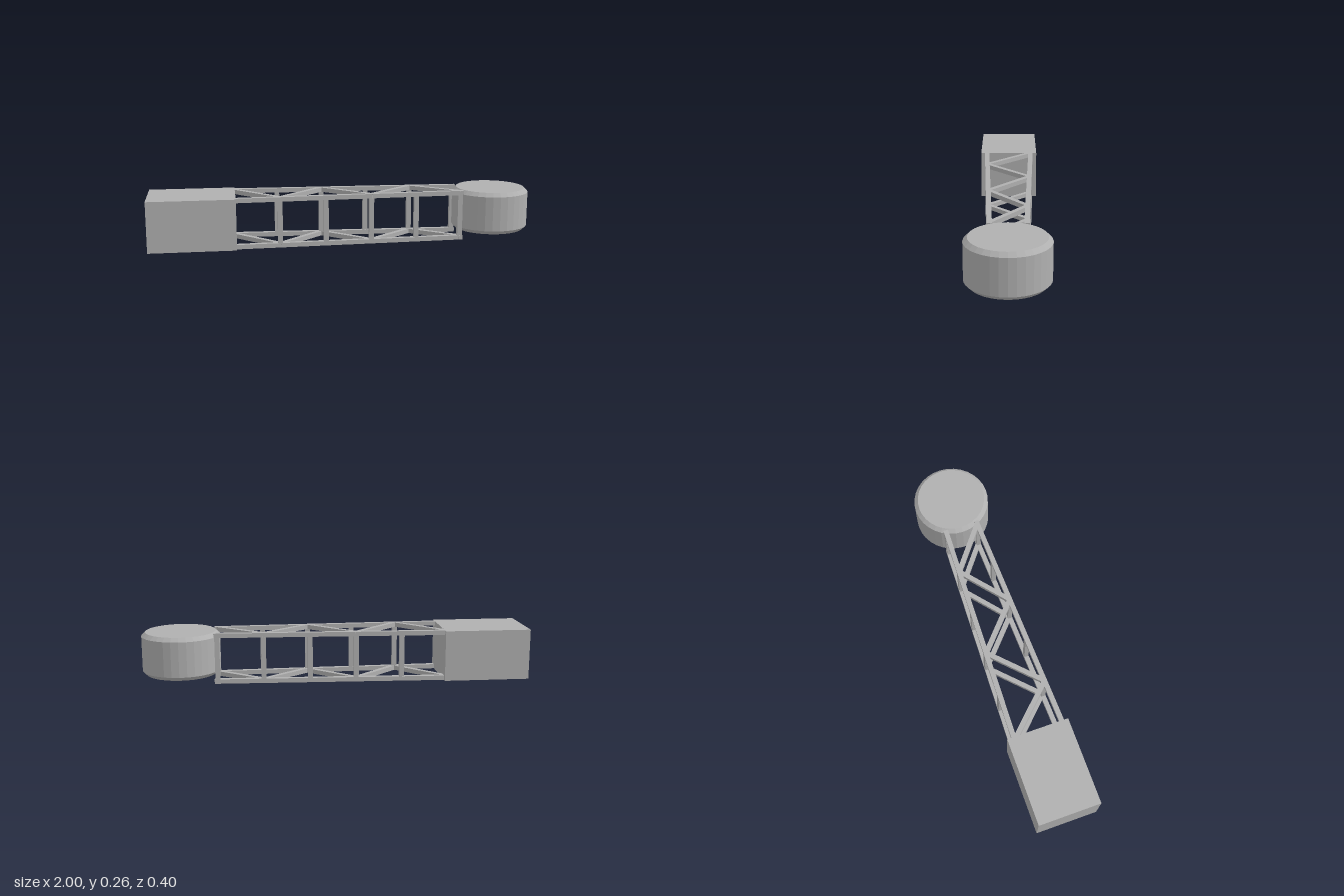
import * as THREE from 'three';

export function createModel() {
  const model = new THREE.Group();
  const grey = new THREE.MeshStandardMaterial({ color: 0xb0b0b0, flatShading: true });
  grey.name = 'plain grey';

  const add = (name, geometry) => {
    const mesh = new THREE.Mesh(geometry, grey);
    mesh.name = name;
    model.add(mesh);
    return mesh;
  };

  const H = 0.262, T = 0.023;
  const x0 = -0.565, x1 = 0.63;
  // Half width of the tapering truss at a given x
  const halfWidth = (x) => THREE.MathUtils.mapLinear(x, -0.555, 0.63, 0.126, 0.086);

  // Square horizontal bar between two points in plan
  const bar = (name, ax, az, bx, bz, y, extra = 0) => {
    const dx = bx - ax, dz = bz - az;
    const mesh = add(name, new THREE.BoxGeometry(Math.hypot(dx, dz) + 2 * extra, T, 0.025));
    mesh.position.set((ax + bx) / 2, y, (az + bz) / 2);
    mesh.rotation.y = Math.atan2(-dz, dx);
  };

  // Root block
  add('rootBlock', new THREE.BoxGeometry(0.445, H, 0.32)).position.set(-0.7775, H / 2, 0);

  // End drum with chamfered rims
  const profile = [[0, 0.042], [0.18, 0.042], [0.2, 0.062], [0.2, 0.242], [0.18, H], [0, H]]
    .map(([r, y]) => new THREE.Vector2(r, y));
  add('endDrum', new THREE.LatheGeometry(profile, 32)).position.x = 0.8;

  // Chords and zigzag bracing on the top and bottom
  const stations = [-0.57, -0.333, -0.097, 0.14, 0.378, 0.614];
  for (const y of [T / 2, H - T / 2]) {
    for (const s of [-1, 1]) bar('chord', x0, s * halfWidth(x0), x1, s * halfWidth(x1), y);
    for (let i = 0; i < 5; i++) {
      const s = i % 2 ? 1 : -1;
      const a = stations[i], b = stations[i + 1];
      bar('diagonalBrace', a, s * halfWidth(a), b, -s * halfWidth(b), y, 0.005);
    }
  }

  // Upright posts on both sides
  for (const x of stations.slice(1)) {
    for (const s of [-1, 1]) {
      add('uprightPost', new THREE.BoxGeometry(0.025, H - T, 0.023))
        .position.set(x, H / 2, s * halfWidth(x));
    }
  }
  return model;
}
